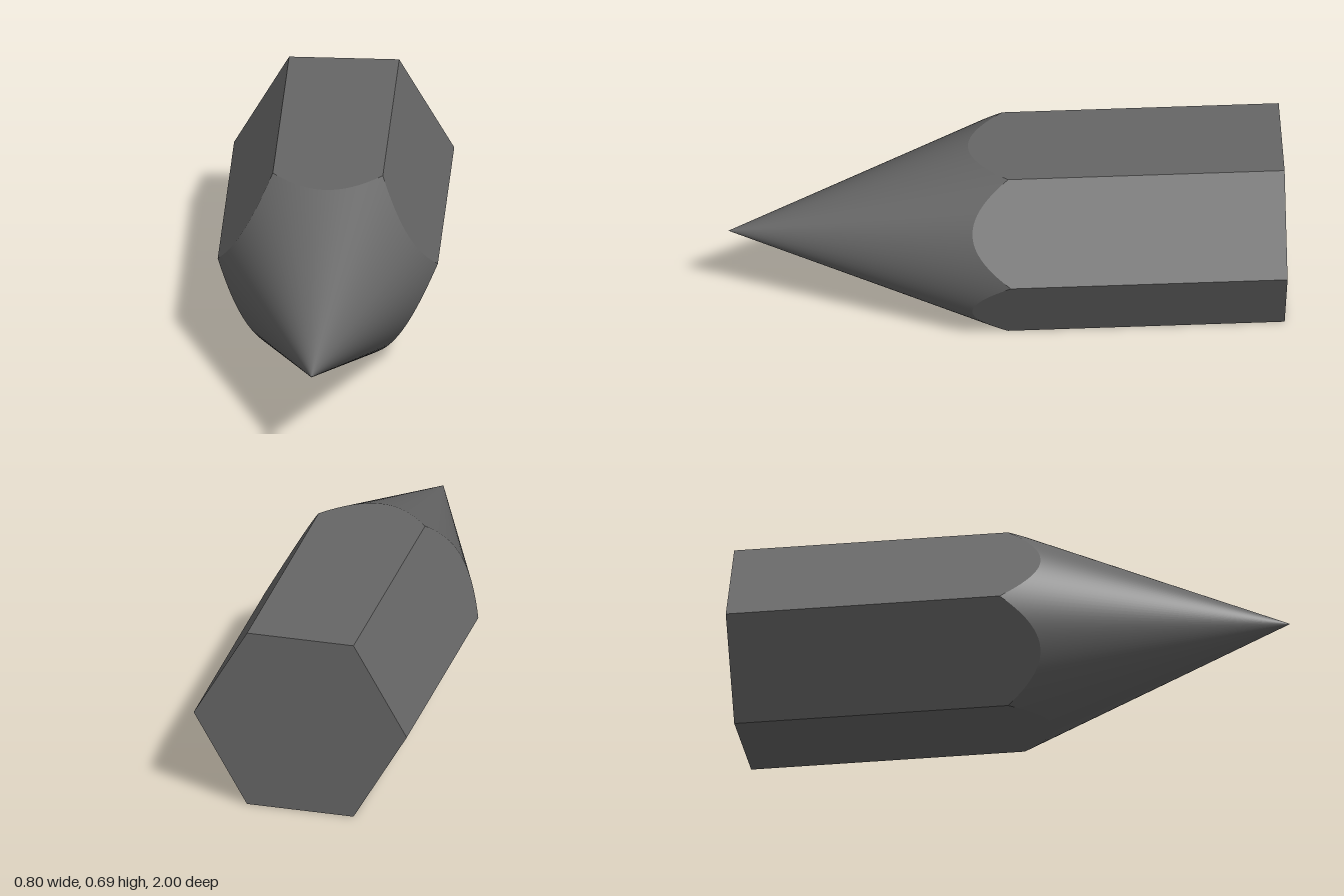
import * as THREE from 'three';

const R = 0.398;                        // corner radius of the hexagon
const APOTHEM = R * Math.cos(Math.PI / 6);
const PER_SIDE = 20;                    // samples along each hexagon side
const COUNT = PER_SIDE * 6;
const BACK = -1;
const APEX = 1;

// Distance from the axis to the hexagon outline at a given angle
function hexRadius(angle) {
  const side = Math.PI / 3;
  const local = ((angle + 1e-9) % side) - side / 2;
  return APOTHEM / Math.cos(local);
}

// Outline point i: at the back end, and on the scalloped edge where the cone cuts the prism
function outline(i) {
  const angle = ((i % COUNT) / COUNT) * Math.PI * 2;
  const r = hexRadius(angle);
  const x = r * Math.cos(angle), y = r * Math.sin(angle);
  return { back: [x, y, BACK], rim: [x, y, APEX - r / R] };
}

// Normal of the cone at a given angle
function coneNormal(i) {
  const angle = (i / COUNT) * Math.PI * 2;
  return new THREE.Vector3(Math.cos(angle), Math.sin(angle), R).normalize().toArray();
}

function makeGeometry(positions, normals) {
  const geometry = new THREE.BufferGeometry();
  geometry.setAttribute('position', new THREE.Float32BufferAttribute(positions, 3));
  if (normals) geometry.setAttribute('normal', new THREE.Float32BufferAttribute(normals, 3));
  else geometry.computeVertexNormals();
  return geometry;
}

export function createModel() {
  const group = new THREE.Group();
  const grey = new THREE.MeshStandardMaterial({ color: 0x666666 });
  grey.name = 'darkGrey';

  const shaft = [], end = [], tip = [], tipNormals = [];
  for (let i = 0; i < COUNT; i++) {
    const a = outline(i), b = outline(i + 1);
    // Flat sides of the prism
    shaft.push(...a.back, ...b.back, ...b.rim, ...a.back, ...b.rim, ...a.rim);
    // Flat back end
    end.push(...b.back, ...a.back, 0, 0, BACK);
    // Smooth cone from the scalloped edge to the point
    tip.push(...a.rim, ...b.rim, 0, 0, APEX);
    tipNormals.push(...coneNormal(i), ...coneNormal(i + 1), ...coneNormal(i + 0.5));
  }

  const parts = {
    hexagonalShaft: makeGeometry(shaft),
    backEnd: makeGeometry(end),
    conicalTip: makeGeometry(tip, tipNormals),
  };
  for (const [name, geometry] of Object.entries(parts)) {
    const mesh = new THREE.Mesh(geometry, grey);
    mesh.name = name;
    mesh.position.y = APOTHEM;
    group.add(mesh);
  }
  group.name = 'sharpenedHexagonalRod';
  return group;
}
